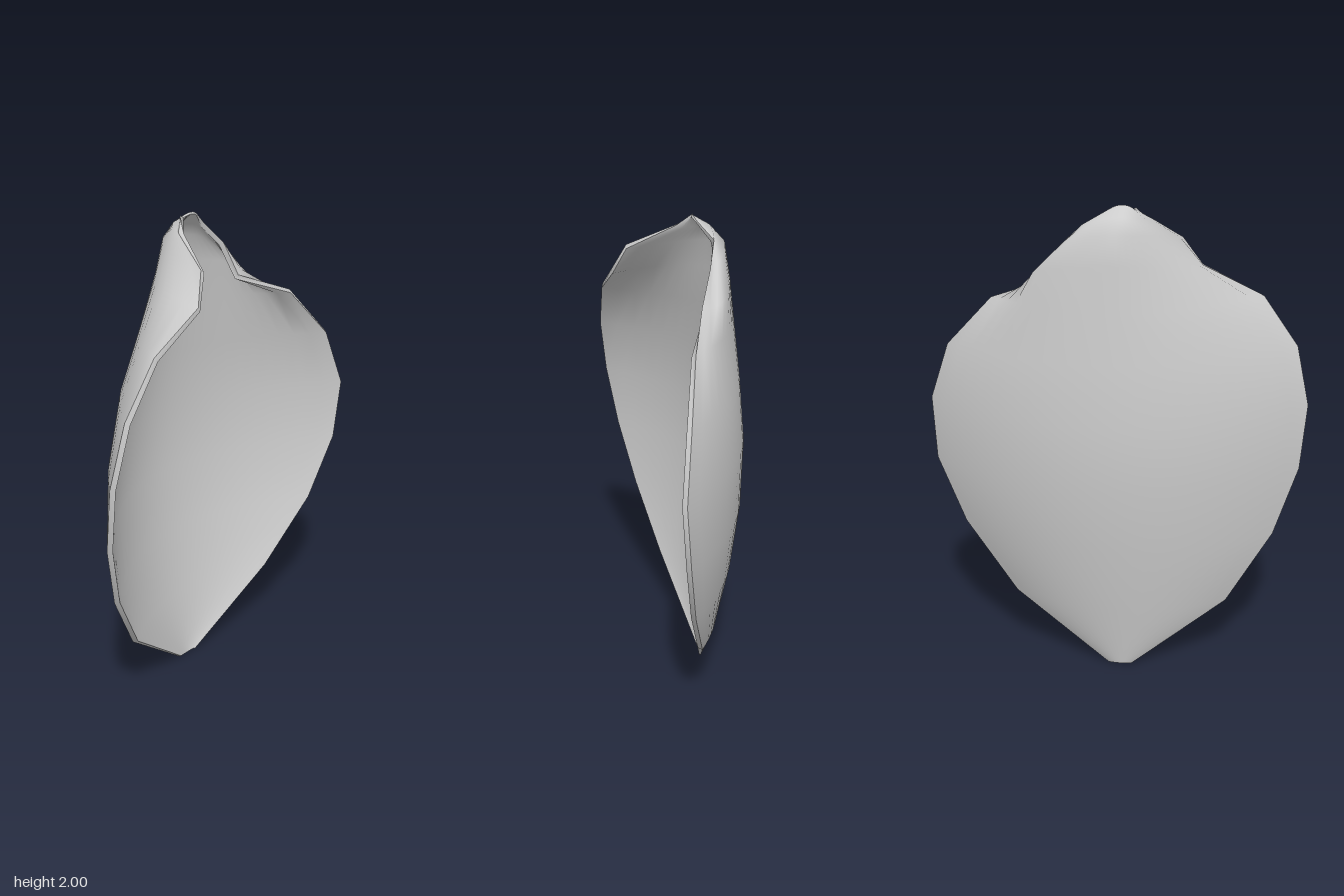
import * as THREE from 'three';

// Each row: left edge, spine, right edge (x, y, z), then left and right bulge
const ROWS = [
  [[-0.10, 0.00, -0.10], [-0.05, 0.00, -0.105], [0.00, 0.00, -0.10], 0, 0],
  [[-0.50, 0.29, 0.00], [-0.03, 0.29, -0.16], [0.42, 0.29, -0.03], 0, 0],
  [[-0.69, 0.58, 0.09], [0.00, 0.58, -0.21], [0.66, 0.58, 0.04], 0, 0],
  [[-0.79, 0.86, 0.16], [0.00, 0.86, -0.245], [0.79, 0.86, 0.08], 0, 0],
  [[-0.815, 1.13, 0.21], [0.00, 1.13, -0.255], [0.81, 1.13, 0.10], 0, 0],
  [[-0.76, 1.38, 0.24], [0.00, 1.39, -0.235], [0.72, 1.38, 0.07], 0, 0],
  [[-0.61, 1.59, 0.25], [0.00, 1.60, -0.215], [0.51, 1.60, 0.02], 0, 0],
  [[-0.35, 1.72, 0.235], [-0.02, 1.78, -0.20], [0.24, 1.70, -0.05], 0.06, 0.13],
  [[-0.27, 1.84, 0.18], [-0.04, 1.90, -0.185], [0.19, 1.84, -0.09], 0.02, 0.03],
  [[-0.17, 1.94, -0.02], [-0.05, 1.96, -0.13], [0.10, 1.93, -0.12], 0, 0],
  [[-0.10, 1.985, -0.07], [-0.05, 2.00, -0.06], [0.00, 1.985, -0.07], 0, 0],
];
const COLS = 24;
const THICKNESS = 0.022;

// Parabolic cross-section through the two edges and the spine
function sectionPoint([left, spine, right, bulgeL, bulgeR], s) {
  const edge = s < 0 ? left : right;
  const a = Math.abs(s), q = s * s;
  const bulge = 4 * (q - q * q) * (s < 0 ? -bulgeL : bulgeR);
  return new THREE.Vector3(
    spine[0] + (edge[0] - spine[0]) * a + bulge,
    spine[1] + (edge[1] - spine[1]) * q,
    spine[2] + (edge[2] - spine[2]) * q
  );
}

function surface(points, index) {
  const g = new THREE.BufferGeometry().setFromPoints(points);
  g.setIndex(index);
  g.computeVertexNormals();
  return g;
}

export function createModel() {
  const group = new THREE.Group();
  group.name = 'petal';
  const petalGrey = new THREE.MeshStandardMaterial({ color: 0xcccccc });
  petalGrey.name = 'petal grey';
  const add = (name, geometry) => {
    const mesh = new THREE.Mesh(geometry, petalGrey);
    mesh.name = name;
    group.add(mesh);
  };

  const at = (r, c) => r * (COLS + 1) + c;
  const last = ROWS.length - 1;
  const outer = [], front = [], back = [];
  ROWS.forEach((row, r) => {
    for (let c = 0; c <= COLS; c++) {
      outer.push(sectionPoint(row, (2 * c) / COLS - 1));
      if (r === last || c === COLS) continue;
      const p = at(r, c), q = at(r, c + 1), u = at(r + 1, c + 1), v = at(r + 1, c);
      front.push(p, q, u, p, u, v);
      back.push(p, u, q, p, v, u);
    }
  });

  // Inner skin: the outer skin moved along its front-facing normals
  const normals = surface(outer, front).attributes.normal;
  const inner = outer.map((p, i) => {
    const r = Math.floor(i / (COLS + 1));
    const t = r === 0 || r === last ? THICKNESS * 0.4 : THICKNESS;
    return p.clone().addScaledVector(new THREE.Vector3().fromBufferAttribute(normals, i), t);
  });
  add('outerSkin', surface(outer, back));
  add('innerSkin', surface(inner, front));

  // Rim strip around the whole border
  const border = [];
  for (let c = 0; c < COLS; c++) border.push(at(0, c));
  for (let r = 0; r < last; r++) border.push(at(r, COLS));
  for (let c = COLS; c > 0; c--) border.push(at(last, c));
  for (let r = last; r > 0; r--) border.push(at(r, 0));
  const rim = [], rimIndex = [], n = border.length;
  border.forEach((b, i) => {
    const j = (i + 1) % n;
    rim.push(outer[b], inner[b]);
    rimIndex.push(2 * i, 2 * j, 2 * j + 1, 2 * i, 2 * j + 1, 2 * i + 1);
  });
  add('rim', surface(rim, rimIndex));

  return group;
}
